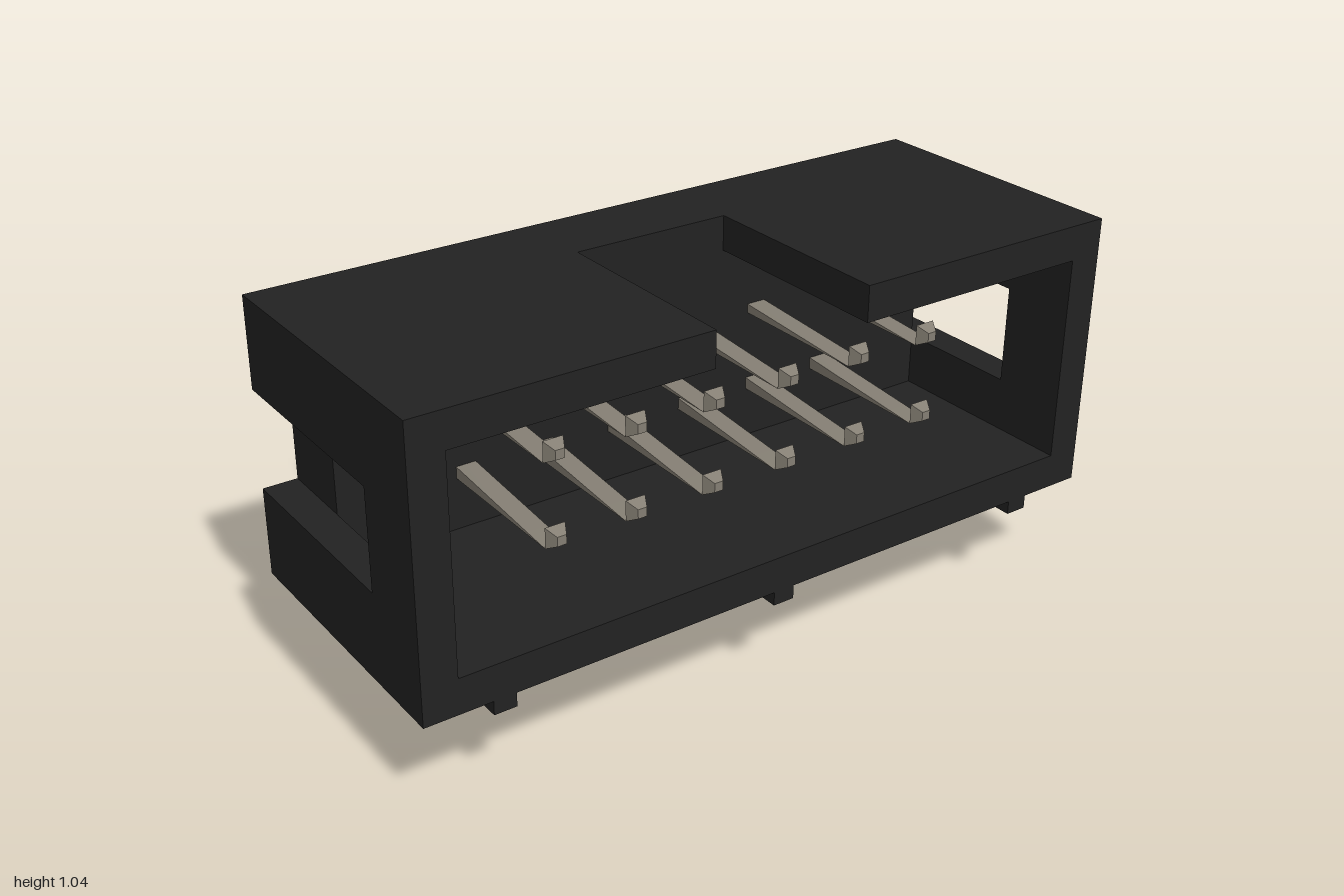
import * as THREE from 'three';
import { mergeGeometries, toCreasedNormals } from 'three/addons/utils/BufferGeometryUtils.js';

const plastic = new THREE.MeshStandardMaterial({ color: 0x222222 });
const metal = new THREE.MeshStandardMaterial({ color: 0x857f74 });

// Housing limits: outer box, cavity, side slots, key notch
const X = 1, Y0 = 0.295, Y1 = 1.045, BACK = -0.188, FRONT = 0.595;
const CX = 0.908, CY0 = 0.39, CY1 = 0.95, CAVITY_BACK = 0.03;
const SLOT0 = 0.535, SLOT1 = 0.802, SLOT_END = 0.388, KEY = 0.222;

// Outline mirrored across x = 0, extruded from z0 to z1
function slab(name, half, z0, z1) {
  const mirrored = half.map(([x, y]) => [-x, y]).reverse();
  const shape = new THREE.Shape([...half, ...mirrored].map(([x, y]) => new THREE.Vector2(x, y)));
  const geo = new THREE.ExtrudeGeometry(shape, { depth: z1 - z0, bevelEnabled: false });
  geo.translate(0, 0, z0);
  const mesh = new THREE.Mesh(geo, plastic);
  mesh.name = name;
  return mesh;
}

function createHousing() {
  const housing = new THREE.Group();
  housing.name = 'housing';

  // Back wall with the side slots running out to the rear
  housing.add(slab('backWall', [
    [X, Y0], [X, SLOT0], [CX, SLOT0], [CX, SLOT1], [X, SLOT1], [X, Y1],
  ], BACK, CAVITY_BACK));

  // Lower tray below the side windows
  housing.add(slab('lowerShell', [
    [X, Y0], [X, SLOT0], [CX, SLOT0], [CX, CY0],
  ], CAVITY_BACK, SLOT_END));

  // Upper corners above the windows, split by the key notch
  for (const side of [-1, 1]) {
    const points = [[KEY, CY1], [CX, CY1], [CX, SLOT1], [X, SLOT1], [X, Y1], [KEY, Y1]];
    const shape = new THREE.Shape(points.map(([x, y]) => new THREE.Vector2(side * x, y)));
    const geo = new THREE.ExtrudeGeometry(shape, { depth: SLOT_END - CAVITY_BACK, bevelEnabled: false });
    geo.translate(0, 0, CAVITY_BACK);
    const corner = new THREE.Mesh(geo, plastic);
    corner.name = side > 0 ? 'upperShellLeft' : 'upperShellRight';
    housing.add(corner);
  }

  // Front rim around the mouth, open at the key notch
  housing.add(slab('frontRim', [
    [X, Y0], [X, Y1], [KEY, Y1], [KEY, CY1], [CX, CY1], [CX, CY0],
  ], SLOT_END, FRONT));

  // Standoff ribs under the floor
  for (const x of [-0.793, 0, 0.793]) {
    const rib = new THREE.Mesh(new THREE.BoxGeometry(0.06, 0.037, FRONT - BACK), plastic);
    rib.position.set(x, Y0 - 0.0185, (FRONT + BACK) / 2);
    rib.name = 'standoffRib';
    housing.add(rib);
  }
  return housing;
}

// Square right-angle pin: profile in the z-y plane, tapered at both ends
function pinGeometry(y, z) {
  const h = 0.0275, R = 0.115, taper = 0.03, end = 0.44;
  const cz = z - h + R, cy = y + h - R;
  const shape = new THREE.Shape();
  shape.moveTo(end, y + h);
  shape.absarc(cz, cy, R, Math.PI / 2, Math.PI, false);
  shape.lineTo(z - h, taper);
  shape.lineTo(z + h, taper);
  shape.absarc(cz, cy, R - 2 * h, Math.PI, Math.PI / 2, true);
  shape.lineTo(end, y - h);
  const bar = new THREE.ExtrudeGeometry(shape, { depth: 2 * h, bevelEnabled: false, curveSegments: 10 });
  bar.translate(0, 0, -h).rotateY(-Math.PI / 2);

  const tip = () => new THREE.CylinderGeometry(0.0125 * Math.SQRT2, h * Math.SQRT2, taper, 4)
    .rotateY(Math.PI / 4).toNonIndexed();
  const frontTip = tip().rotateX(Math.PI / 2).translate(0, y, end + taper / 2);
  const solderTip = tip().rotateX(Math.PI).translate(0, taper / 2, z);
  return toCreasedNormals(mergeGeometries([bar, frontTip, solderTip]), 0.35);
}

export function createModel() {
  const model = new THREE.Group();
  model.name = 'boxHeader';
  model.add(createHousing());

  // Two rows of six pins
  const rows = [['upperPin', 0.782, -0.5675], ['lowerPin', 0.559, -0.3425]];
  for (const [name, y, z] of rows) {
    const geo = pinGeometry(y, z);
    for (let i = 0; i < 6; i++) {
      const pin = new THREE.Mesh(geo, metal);
      pin.position.x = (i - 2.5) * 0.223;
      pin.name = name;
      model.add(pin);
    }
  }
  return model;
}
